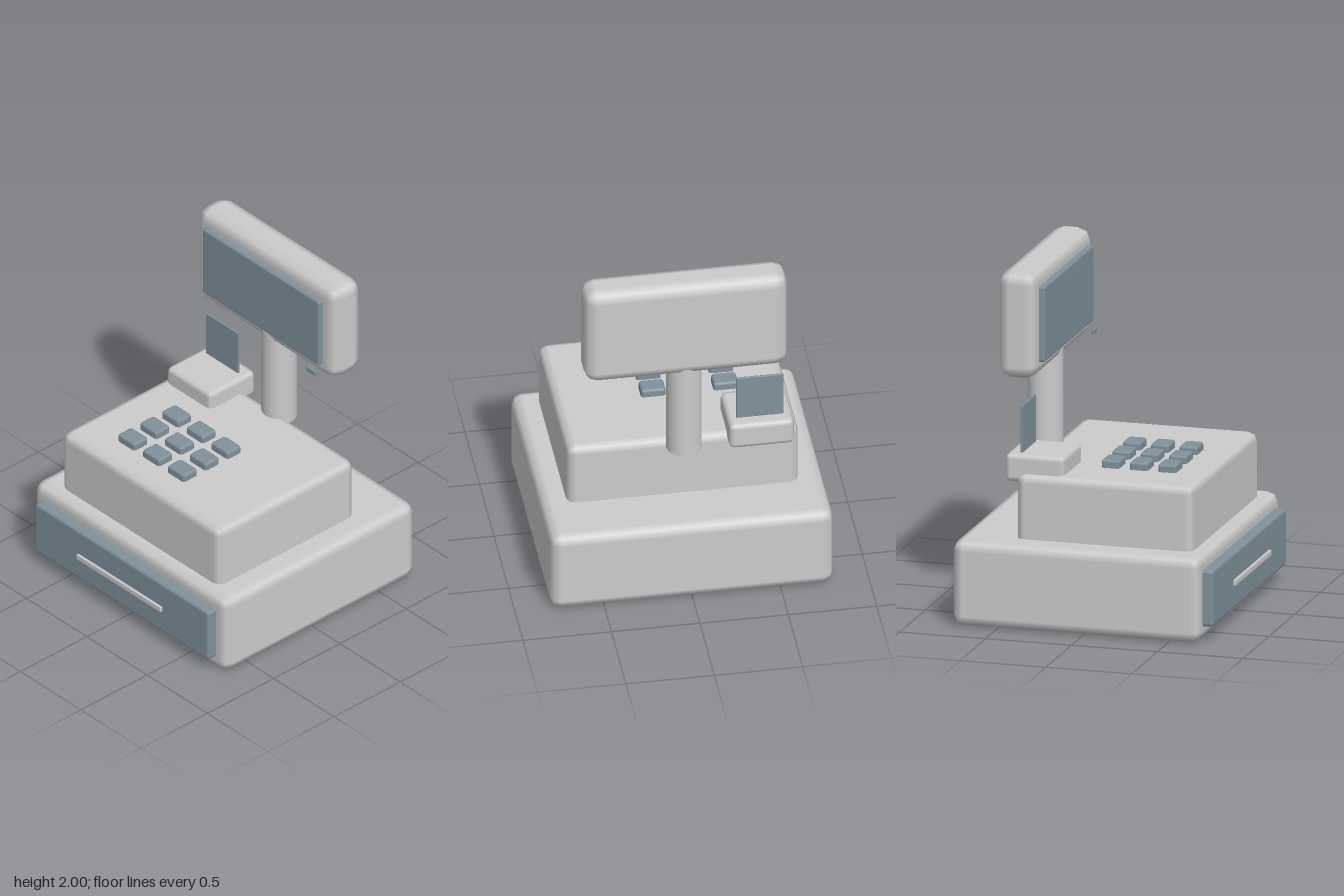
import * as THREE from 'three';
import { RoundedBoxGeometry } from 'three/addons/geometries/RoundedBoxGeometry.js';

const grey = new THREE.MeshStandardMaterial({ color: 0xcccccc });
const slate = new THREE.MeshStandardMaterial({ color: 0x80929c });

// Softly bevelled box given by its [min, max] range on each axis
function block(name, x, y, z, radius, material = grey) {
  const size = [x, y, z].map(([a, b]) => b - a);
  const mesh = new THREE.Mesh(new RoundedBoxGeometry(...size, 1, radius), material);
  mesh.position.set(...[x, y, z].map(([a, b]) => (a + b) / 2));
  mesh.name = name;
  return mesh;
}

export function createModel() {
  const register = new THREE.Group();
  register.name = 'cashRegister';

  // Drawer base and the body standing on it
  register.add(
    block('base', [-0.8, 0.8], [0, 0.495], [-0.76, 0.68], 0.06),
    block('body', [-0.655, 0.655], [0.43, 0.867], [-0.43, 0.6], 0.05),
    block('drawerFront', [-0.72, 0.72], [0.085, 0.412], [0.66, 0.74], 0.02, slate),
    block('drawerHandle', [-0.35, 0.35], [0.233, 0.268], [0.745, 0.763], 0.006),
  );

  // Three by three keypad
  const keypad = new THREE.Group();
  keypad.name = 'keypad';
  for (const z of [0.04, 0.205, 0.37]) {
    for (const x of [-0.31, -0.105, 0.1]) {
      keypad.add(block('key', [x - 0.07, x + 0.07], [0.85, 0.912], [z - 0.053, z + 0.053], 0.015, slate));
    }
  }
  register.add(keypad);

  // Receipt printer overhanging the back of the body
  register.add(
    block('printer', [-0.617, -0.25], [0.81, 0.97], [-0.505, -0.158], 0.03),
    block('receipt', [-0.567, -0.3], [0.92, 1.24], [-0.427, -0.413], 0.004, slate),
  );

  // Pole carrying the customer display
  const pole = new THREE.Mesh(new THREE.CylinderGeometry(0.1, 0.1, 0.6, 24), grey);
  pole.position.set(0, 1.13, -0.45);
  pole.name = 'displayPole';
  register.add(
    pole,
    block('displayHousing', [-0.575, 0.575], [1.387, 2], [-0.563, -0.343], 0.07),
    block('displayScreen', [-0.485, 0.483], [1.475, 1.912], [-0.37, -0.31], 0.015, slate),
    block('displayButton', [0.4, 0.472], [1.413, 1.445], [-0.308, -0.288], 0.008, slate),
  );

  return register;
}
